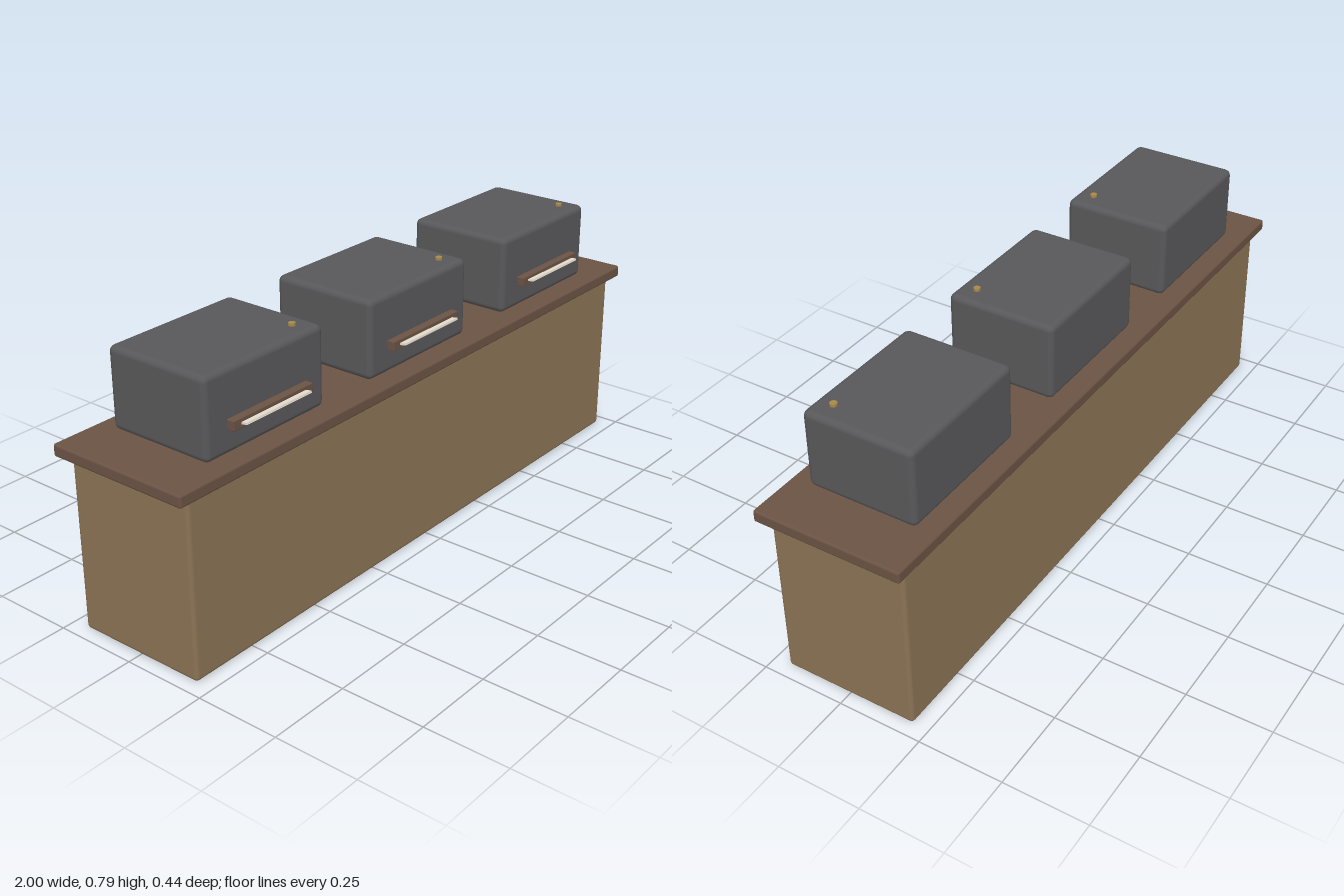
import * as THREE from 'three';
import { RoundedBoxGeometry } from 'three/addons/geometries/RoundedBoxGeometry.js';

const paint = (color) => new THREE.MeshStandardMaterial({ color });
const wood = paint(0x8b7355);
const darkWood = paint(0x6b5344);
const casing = paint(0x58585a);
const paper = paint(0xe8e0d0);
const brass = paint(0xa8884a);

function add(parent, name, geometry, material, x, y, z) {
  const mesh = new THREE.Mesh(geometry, material);
  mesh.name = name;
  mesh.position.set(x, y, z);
  parent.add(mesh);
  return mesh;
}

// Rounded machine with a front slot, a paper sheet and a top button
function createMachine() {
  const machine = new THREE.Group();
  add(machine, 'casing', new RoundedBoxGeometry(0.44, 0.232, 0.33, 2, 0.018), casing, 0, 0.116, 0);
  add(machine, 'slot', new RoundedBoxGeometry(0.294, 0.028, 0.024, 2, 0.002), darkWood, 0, 0.085, 0.177);
  const sheet = add(machine, 'paperSheet', new THREE.BoxGeometry(0.24, 0.006, 0.03), paper, 0, 0.086, 0.193);
  sheet.rotation.x = -0.17;
  add(machine, 'button', new THREE.CylinderGeometry(0.01, 0.01, 0.01, 16), brass, 0.16, 0.235, 0.11);
  return machine;
}

export function createModel() {
  const model = new THREE.Group();
  model.name = 'counterWithMachines';

  // Counter
  add(model, 'counterBody', new RoundedBoxGeometry(1.92, 0.518, 0.406, 2, 0.012), wood, 0, 0.259, 0);
  add(model, 'counterTop', new RoundedBoxGeometry(2, 0.036, 0.444, 2, 0.007), darkWood, 0, 0.535, 0);

  // Row of three machines
  ['rightMachine', 'middleMachine', 'leftMachine'].forEach((name, i) => {
    const machine = createMachine();
    machine.name = name;
    machine.position.set((i - 1) * 0.63, 0.553, 0);
    model.add(machine);
  });
  return model;
}
